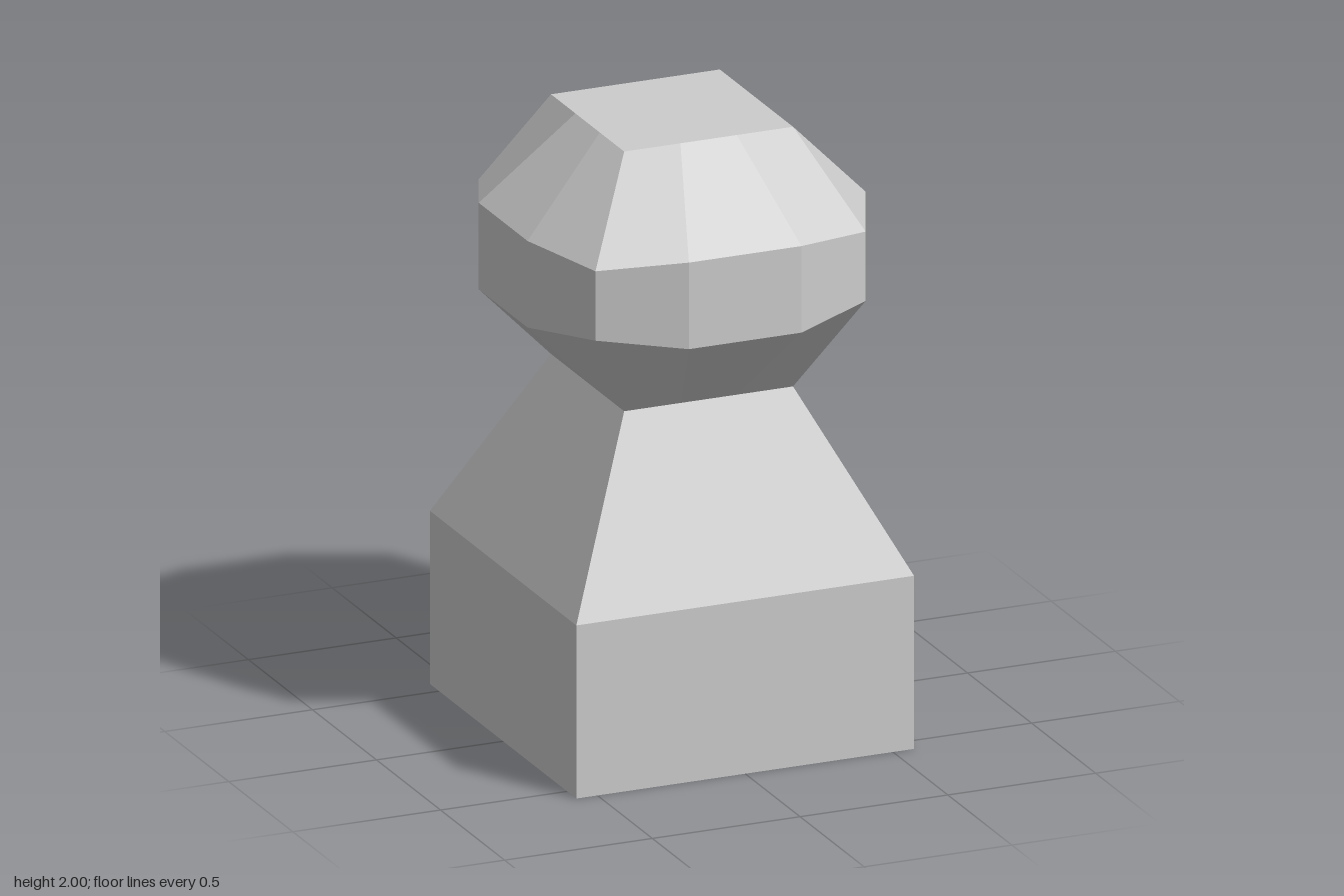
import * as THREE from 'three';

const material = new THREE.MeshStandardMaterial({ color: 0xcccccc });
const UP = new THREE.Vector3(0, 1, 0);

// Collects flat four-sided faces, each with one shared normal, split along a-c
function quadBuilder() {
  const positions = [], normals = [];
  return {
    quad(a, b, c, d) {
      const n = c.clone().sub(a).cross(d.clone().sub(b)).normalize();
      for (const p of [a, b, c, a, c, d]) {
        positions.push(p.x, p.y, p.z);
        normals.push(n.x, n.y, n.z);
      }
    },
    mesh(name) {
      const g = new THREE.BufferGeometry();
      g.setAttribute('position', new THREE.Float32BufferAttribute(positions, 3));
      g.setAttribute('normal', new THREE.Float32BufferAttribute(normals, 3));
      const m = new THREE.Mesh(g, material);
      m.name = name;
      return m;
    },
  };
}

// Ring of 12 points: on each of four sides a corner, then two points along the side
function ring(corner, cornerY, half, side, sideY) {
  const pts = [];
  for (let k = 0; k < 4; k++) {
    const local = [[-corner, cornerY, corner], [-half, sideY, side], [half, sideY, side]];
    for (const [x, y, z] of local) {
      pts.push(new THREE.Vector3(x, y, z).applyAxisAngle(UP, k * Math.PI / 2));
    }
  }
  return pts;
}

// Square pedestal: straight block with a tapering neck
function createPedestal() {
  const b = quadBuilder();
  const square = (h, y) => [[-h, h], [h, h], [h, -h], [-h, -h]].map(([x, z]) => new THREE.Vector3(x, y, z));
  const levels = [square(0.5714, 0), square(0.5714, 0.5714), square(0.2857, 1.1429)];
  for (let l = 0; l < 2; l++) {
    for (let i = 0; i < 4; i++) {
      const j = (i + 1) % 4;
      b.quad(levels[l][i], levels[l][j], levels[l + 1][j], levels[l + 1][i]);
    }
  }
  b.quad(...levels[0].slice().reverse());
  return b.mesh('pedestal');
}

// Faceted head: square ends swelling to a twelve-sided band
function createHead() {
  const b = quadBuilder();
  const levels = [
    ring(0.2857, 1.1429, 0.0952, 0.2857, 1.1429),
    ring(0.4571, 1.457, 0.1905, 0.5714, 1.4286),
    ring(0.4571, 1.686, 0.1905, 0.5714, 1.7143),
    ring(0.2857, 2, 0.0952, 0.2857, 2),
  ];
  for (let l = 0; l < 3; l++) {
    for (let i = 0; i < 12; i++) {
      const j = (i + 1) % 12;
      const q = [levels[l][i], levels[l][j], levels[l + 1][j], levels[l + 1][i]];
      // Turn the split so that the corner facets stay convex
      const turn = (l === 0 && i % 3 === 2) || (l === 2 && i % 3 === 0);
      if (turn) q.push(q.shift());
      b.quad(...q);
    }
  }
  // Flat square ends
  const top = [0, 3, 6, 9].map((i) => levels[3][i]);
  const bottom = [9, 6, 3, 0].map((i) => levels[0][i]);
  b.quad(...top);
  b.quad(...bottom);
  return b.mesh('head');
}

export function createModel() {
  const group = new THREE.Group();
  group.name = 'pawn';
  group.add(createPedestal(), createHead());
  return group;
}
